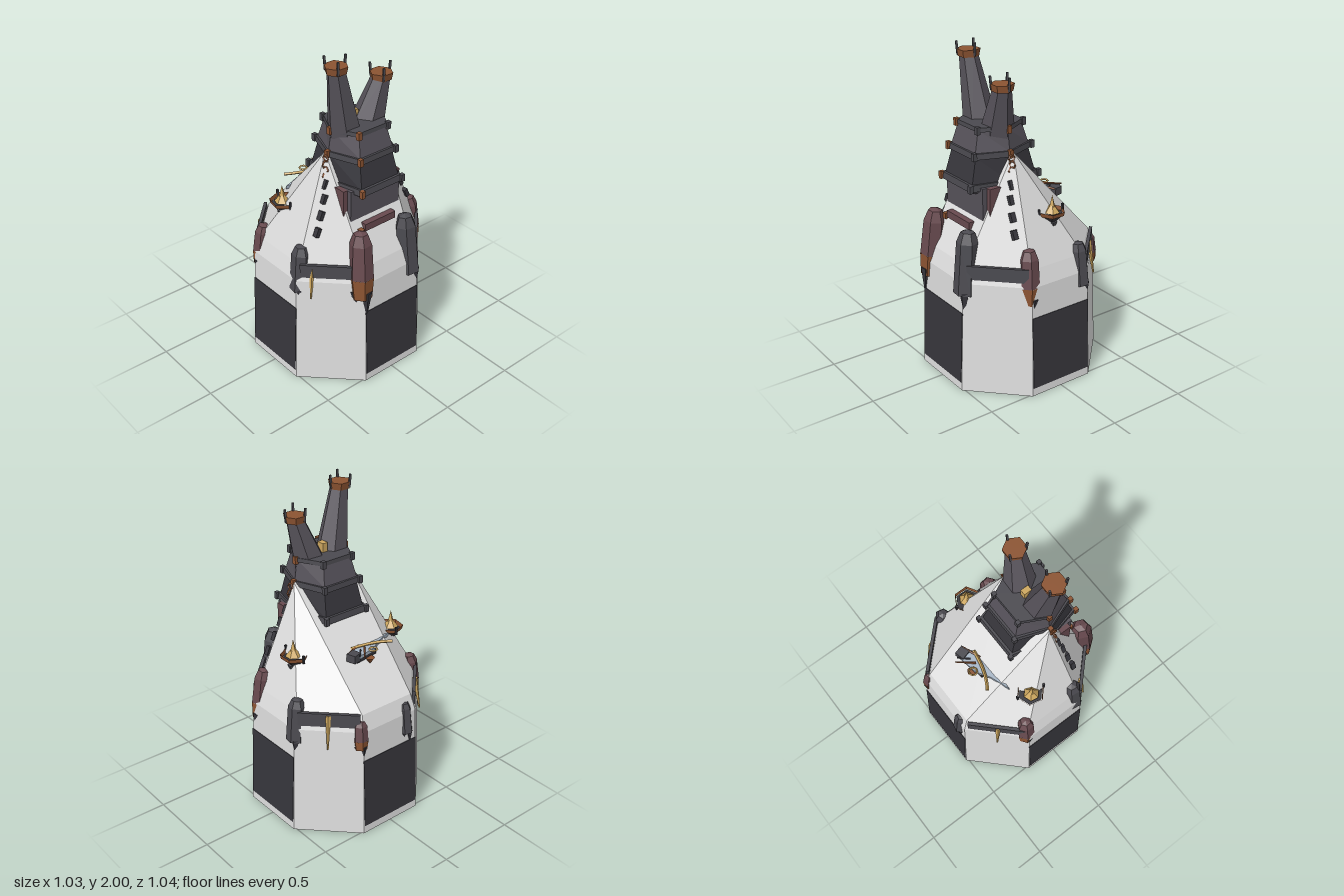
import * as THREE from 'three';

const mat = (name, color) => {
  const m = new THREE.MeshStandardMaterial({ color, flatShading: true, side: THREE.DoubleSide });
  m.name = name;
  return m;
};

// Flat faced loft through rings of equal point count, capped at both ends
function loft(rings) {
  const pos = [];
  const tri = (...p) => p.forEach(q => pos.push(...q));
  const mid = r => [0, 1, 2].map(k => r.reduce((s, p) => s + p[k], 0) / r.length);
  const n = rings[0].length, last = rings[rings.length - 1];
  for (let j = 0; j < n; j++) {
    const k = (j + 1) % n;
    for (let i = 0; i + 1 < rings.length; i++) {
      const a = rings[i], b = rings[i + 1];
      tri(a[j], a[k], b[j]);
      tri(a[k], b[k], b[j]);
    }
    tri(mid(last), last[j], last[k]);
    tri(mid(rings[0]), rings[0][k], rings[0][j]);
  }
  const g = new THREE.BufferGeometry();
  g.setAttribute('position', new THREE.Float32BufferAttribute(pos, 3));
  g.computeVertexNormals();
  return g;
}

export function createModel() {
  const model = new THREE.Group();
  model.name = 'fortressTower';
  const white = mat('paleStone', 0xdedede), dark = mat('darkPanel', 0x37363c);
  const purple = mat('purpleGrey', 0x56525a), grey = mat('slateGrey', 0x4b4a50);
  const maroon = mat('maroon', 0x684a4f), copper = mat('copper', 0x8c5432);
  const gold = mat('gold', 0xcda75f), blue = mat('paleBlue', 0xa9b7c6);

  const add = (name, geo, m, x = 0, y = 0, z = 0, parent = model) => {
    const mesh = new THREE.Mesh(geo, m);
    mesh.name = name;
    mesh.position.set(x, y, z);
    parent.add(mesh);
    return mesh;
  };
  const box = (...s) => new THREE.BoxGeometry(...s);
  // Tapered rod between two points
  const rod = (name, from, to, r0, r1, m, sides = 6) => {
    const a = new THREE.Vector3(...from), d = new THREE.Vector3(...to).sub(a);
    const g = new THREE.CylinderGeometry(r1, r0, d.length(), sides);
    g.rotateY(Math.PI / 6);
    const mesh = add(name, g, m, ...a.clone().addScaledVector(d, 0.5).toArray());
    mesh.quaternion.setFromUnitVectors(new THREE.Vector3(0, 1, 0), d.normalize());
    return mesh;
  };

  // Octagonal base rising to two peaks
  const octagon = (y, r) => {
    const t = r * 0.414;
    return [[t, r], [r, t], [r, -t], [t, -r], [-t, -r], [-r, -t], [-r, t], [-t, r]].map(([x, z]) => [x, y, z]);
  };
  const shoulder = octagon(0.8, 0.455);
  const peaks = shoulder.map(p => [Math.sign(p[0]) * 0.21, 1.43, 0.135]);
  add('body', loft([octagon(0, 0.515), octagon(0.7, 0.487), shoulder, peaks]), white);

  // Dark wall panels, diagonal bands
  for (let i = 0; i < 4; i++) {
    const side = new THREE.Group();
    side.name = 'wallSide';
    side.rotation.y = i * Math.PI / 2;
    model.add(side);
    add('wallPanel', box(0.412, 0.46, 0.006), dark, 0, 0.28, 0.504, side).rotation.x = -0.04;
    const diagonal = new THREE.Group();
    diagonal.name = 'bandSide';
    diagonal.rotation.y = (i + 0.5) * Math.PI / 2;
    model.add(diagonal);
    add('band', box(0.36, 0.085, 0.02), grey, 0, 0.77, 0.474, diagonal);
  }

  // Claw shaped buttresses on the corners
  function claw(x, z, bottom, top, r, red) {
    const h = top - bottom, g = new THREE.Group();
    g.name = red ? 'redClaw' : 'greyClaw';
    g.position.set(x, bottom, z);
    g.rotation.set(-0.09, Math.atan2(x, z), 0, 'YXZ');
    model.add(g);
    const part = (name, pts, m) =>
      add(name, new THREE.LatheGeometry(pts.map(([a, b]) => new THREE.Vector2(a * r, b * h)), 6), m, 0, 0, 0, g);
    const cut = red ? 0.45 : 0.25;
    part('clawShell', [[0.95, cut], [0.85, 0.85], [0.55, 0.97], [0, 1]], red ? maroon : grey);
    if (red) part('clawBand', [[0, 0.2], [0.8, 0.2], [0.96, 0.45]], copper);
    for (let i = 0; i < 3; i++) {
      const a = i * Math.PI * 2 / 3 + Math.PI / 6;
      const tip = new THREE.CylinderGeometry(r * 0.45, r * 0.08, h * (0.27 - 0.03 * i), 5);
      add('clawTip', tip, dark, Math.sin(a) * r * 0.48, h * (0.15 + 0.015 * i), Math.cos(a) * r * 0.48, g);
    }
  }
  claw(-0.205, 0.46, 0.49, 1.03, 0.078, true);
  claw(0.175, 0.46, 0.49, 1.01, 0.076, false);
  claw(0.45, 0.19, 0.5, 0.92, 0.066, true);
  claw(-0.45, 0.18, 0.52, 0.91, 0.066, false);
  claw(0.465, -0.18, 0.52, 0.88, 0.06, false);
  claw(-0.45, -0.2, 0.54, 0.88, 0.06, true);
  claw(0.205, -0.468, 0.54, 0.77, 0.048, true);
  claw(-0.14, -0.48, 0.5, 0.77, 0.05, false);

  // Gold tusks on the bands
  for (const [x, z] of [[-0.35, -0.345], [0.35, -0.345], [-0.42, 0.26]])
    rod('tusk', [x * 0.97, 0.8, z * 0.97], [x * 1.04, 0.59, z * 1.04], 0.017, 0.005, gold, 5);

  // Stepped hexagonal keep: a is half the front edge, b the side point, d half the depth
  const hex = (y, a, b, d) => [[a, d], [b, 0], [a, -d], [-a, -d], [-b, 0], [-a, d]].map(([x, z]) => [x, y, z + 0.148]);
  const stage = (name, m, lo, hi) => add(name, loft([hex(...lo), hex(...hi)]), m);
  stage('keepFoot', purple, [1.2, 0.13, 0.19, 0.21], [1.23, 0.14, 0.2, 0.225]);
  stage('lowerRim', grey, [1.22, 0.15, 0.205, 0.24], [1.26, 0.148, 0.205, 0.235]);
  stage('keepWall', dark, [1.25, 0.14, 0.2, 0.222], [1.41, 0.12, 0.19, 0.182]);
  stage('middleRim', grey, [1.4, 0.132, 0.205, 0.2], [1.435, 0.13, 0.203, 0.197]);
  stage('upperWall', purple, [1.43, 0.122, 0.195, 0.185], [1.56, 0.1, 0.175, 0.15]);
  stage('topRim', grey, [1.55, 0.107, 0.188, 0.158], [1.575, 0.105, 0.186, 0.156]);
  for (const [y, a, b, d] of [[1.24, 0.15, 0.205, 0.24], [1.42, 0.132, 0.205, 0.2], [1.56, 0.107, 0.185, 0.158]])
    hex(y, a, b, d).forEach((p, i) => add('rimKnob', box(0.025, 0.045, 0.025), i === 1 || i > 3 ? copper : grey, ...p));

  // Front gatehouse with side posts and sill
  add('gatehouse', box(0.37, 0.24, 0.26), purple, 0, 1.12, 0.2);
  for (const s of [-1, 1]) add('gatePost', box(0.03, 0.2, 0.09), maroon, s * 0.198, 1.14, 0.255);
  add('sill', box(0.23, 0.045, 0.04), maroon, 0, 1.0, 0.36);
  add('sillEnd', box(0.03, 0.035, 0.03), copper, -0.14, 0.98, 0.37);

  // Leaning chimneys with spiked caps
  for (const [x, y] of [[-0.165, 1.93], [0.165, 1.8]]) {
    const s = Math.sign(x);
    rod('chimney', [s * 0.085, 1.53, 0.155], [x, y, 0.178], 0.1, 0.054, purple);
    const cap = new THREE.CylinderGeometry(0.07, 0.062, 0.042, 6);
    cap.rotateY(Math.PI / 6);
    add('chimneyCap', cap, copper, x, y + 0.004, 0.177);
    for (let i = 0; i < 3; i++) {
      const a = Math.PI / 2 + i * Math.PI * 2 / 3, c = Math.sin(a), d = Math.cos(a);
      rod('capSpike', [x + c * 0.06, y - 0.01, 0.177 + d * 0.06], [x + c * 0.068, y + 0.07, 0.177 + d * 0.068], 0.009, 0.008, grey, 4);
    }
  }
  add('crest', box(0.035, 0.06, 0.05), gold, 0, 1.6, 0.13);

  // Chains and step stones down both flanks
  for (const s of [-1, 1]) {
    for (let i = 0; i < 4; i++) {
      const ring = add('chainLink', new THREE.TorusGeometry(0.02, 0.006, 4, 6), copper, s * (0.222 + 0.008 * (i % 2)), 1.4 - i * 0.036, 0.155);
      ring.rotation.y = i % 2 ? 0.3 : Math.PI / 2;
    }
    for (const [x, y, z] of [[0.245, 1.25, 0.175], [0.27, 1.17, 0.195], [0.305, 1.08, 0.21], [0.345, 0.99, 0.225]]) {
      const stone = add('stepStone', box(0.025, 0.055, 0.03), dark, s * x, y, z);
      stone.rotation.z = s * 0.4;
    }
  }

  // Half hexagon balconies with golden roofs
  function balcony(x, z, y, turn) {
    const g = new THREE.Group();
    g.name = 'balcony';
    g.position.set(x, y, z);
    g.rotation.y = turn;
    model.add(g);
    add('balconyBase', new THREE.CylinderGeometry(0.075, 0.03, 0.045, 6), dark, 0, -0.02, 0, g);
    add('balconyPoint', new THREE.CylinderGeometry(0.026, 0.004, 0.06, 6), grey, 0.02, -0.07, 0, g);
    const rail = new THREE.CylinderGeometry(0.086, 0.08, 0.026, 6, 1, true);
    add('balconyRail', rail, copper, 0, 0.012, 0, g);
    add('balconyPost', box(0.012, 0.05, 0.012), dark, 0, 0.02, 0.085, g);
    add('balconyPost', box(0.012, 0.05, 0.012), dark, 0, 0.02, -0.085, g);
    add('balconyRoof', new THREE.ConeGeometry(0.048, 0.06, 6), gold, 0.01, 0.045, 0, g);
    add('roofSpire', new THREE.ConeGeometry(0.02, 0.07, 4), gold, 0.01, 0.085, 0, g);
  }
  balcony(0.345, -0.035, 1.055, 0);
  balcony(-0.34, -0.09, 1.04, Math.PI - 0.2);

  // Airship moored above the rear slope
  const outline = [[-0.255, -0.18], [-0.13, -0.225], [-0.05, -0.275], [0.07, -0.295], [0.1, -0.24], [0.06, -0.205], [-0.15, -0.2], [-0.22, -0.178]];
  const hull = new THREE.ExtrudeGeometry(new THREE.Shape(outline.map(([x, z]) => new THREE.Vector2(x, -z))), { depth: 0.022, bevelEnabled: false });
  hull.rotateX(-Math.PI / 2);
  add('airshipHull', hull, blue, 0, 1.055, 0);
  add('airshipStern', box(0.06, 0.05, 0.06), grey, 0.092, 1.065, -0.265).rotation.y = 0.25;
  add('airshipKeel', box(0.17, 0.03, 0.05), dark, 0, 1.04, -0.245).rotation.y = 0.15;
  add('airshipPod', new THREE.ConeGeometry(0.03, 0.04, 6), copper, -0.02, 1.01, -0.28).rotation.x = Math.PI;
  const arc = new THREE.QuadraticBezierCurve3(new THREE.Vector3(-0.185, 1.085, -0.29), new THREE.Vector3(-0.1, 1.09, -0.225), new THREE.Vector3(0.06, 1.085, -0.205));
  add('airshipWing', new THREE.TubeGeometry(arc, 8, 0.01, 4), gold);
  add('airshipHoop', new THREE.TorusGeometry(0.024, 0.006, 4, 8), gold, -0.04, 1.08, -0.285).rotation.x = Math.PI / 2;
  rod('airshipMast', [-0.01, 1.085, -0.24], [0.07, 1.085, -0.335], 0.007, 0.004, copper, 4);
  rod('airshipMast', [0.03, 1.085, -0.25], [0.085, 1.085, -0.31], 0.006, 0.004, grey, 4);
  rod('airshipRudder', [0.005, 1.085, -0.2], [0.12, 1.085, -0.245], 0.007, 0.007, copper, 4);

  return model;
}
